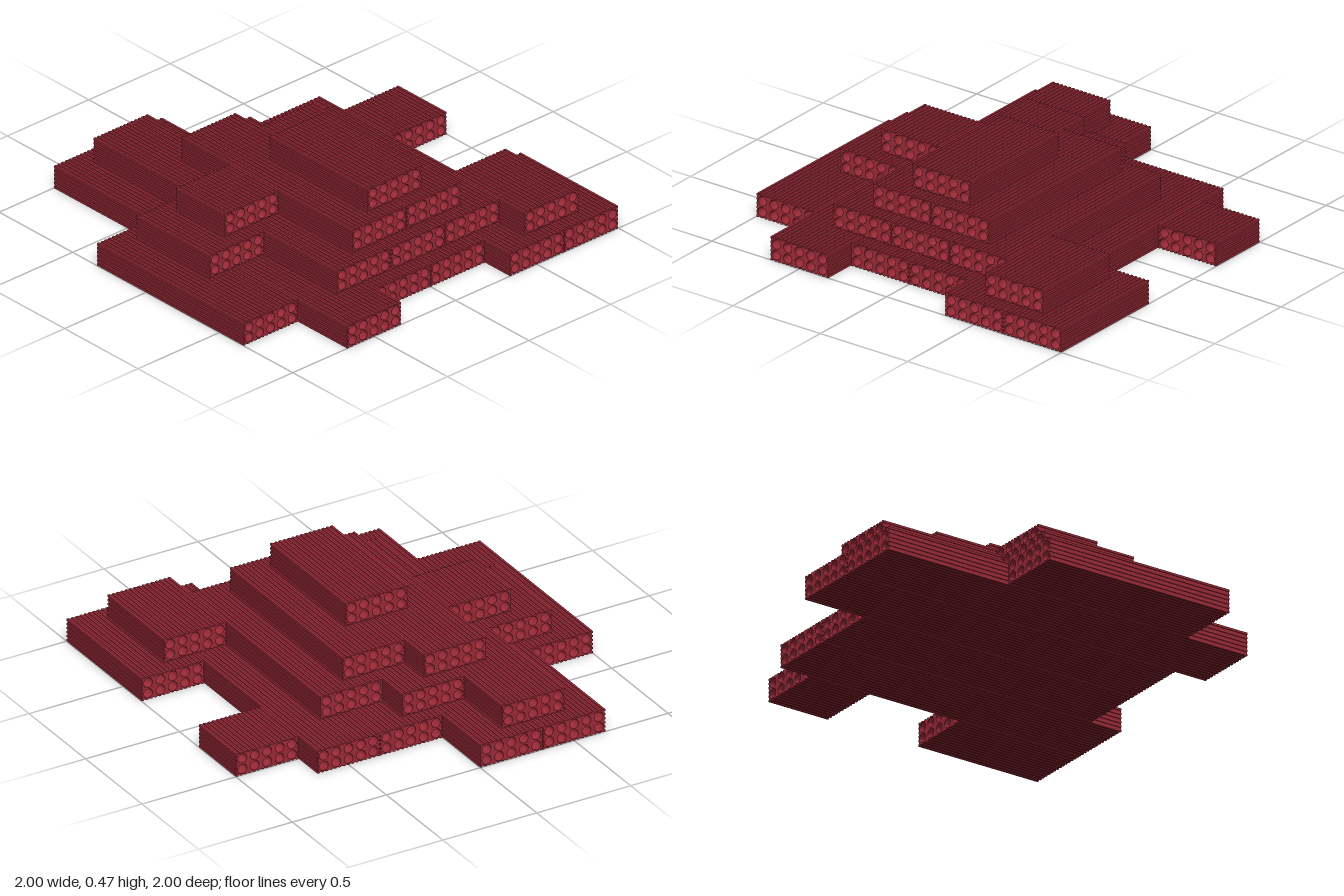
import * as THREE from 'three';
import { toCreasedNormals } from 'three/addons/utils/BufferGeometryUtils.js';

const PITCH = 1 / 3;      // column spacing
const COURSE = 0.1175;    // course height
const W = 0.331, H = 0.117, GROOVE = 0.004;

// Each brick: [centre x, back z, front z], listed course by course from the ground
const COURSES = [
  [[-2.5, -0.335, 0.665], [-1.5, -1, 1], [-0.5, -1, 0.83], [0.5, -0.667, 0.83],
    [1.5, -0.667, 1], [2.5, -0.5, -0.17], [2.5, 0.335, 1]],
  [[-2, -0.25, 0.25], [-1, -0.915, 0.745], [0, -0.585, 0.745], [1, -0.415, 0.745], [2, 0.415, 0.915]],
  [[-1.5, -0.167, 0.165], [-0.5, -0.5, 0.665], [0.5, -0.335, 0.665]],
  [[0, -0.083, 0.585]],
];

// Square grooves cut into one straight side, inward to the left of its direction
function groovedSide(points, ax, ay, bx, by, count) {
  const length = Math.hypot(bx - ax, by - ay);
  const dx = (bx - ax) / length, dy = (by - ay) / length;
  const step = length / (2 * count + 1);
  const add = (t, d) => points.push(new THREE.Vector2(ax + dx * t - dy * d, ay + dy * t + dx * d));
  add(0, 0);
  for (let i = 0; i < count; i++) {
    const t = (2 * i + 1) * step;
    add(t, 0);
    add(t, GROOVE);
    add(t + step, GROOVE);
    add(t + step, 0);
  }
}

// Grooved outline with two rows of five round channels
function brickShape() {
  const x = W / 2, y = H / 2, points = [];
  groovedSide(points, -x, -y, x, -y, 14);
  groovedSide(points, x, -y, x, y, 5);
  groovedSide(points, x, y, -x, y, 14);
  groovedSide(points, -x, y, -x, -y, 5);
  const shape = new THREE.Shape(points);
  for (let i = -2; i <= 2; i++) {
    for (const side of [-1, 1]) {
      const hole = new THREE.Path();
      hole.absarc(i * 0.066, side * 0.027, 0.0235, 0, Math.PI * 2, true);
      shape.holes.push(hole);
    }
  }
  return shape;
}

export function createModel() {
  const model = new THREE.Group();
  model.name = 'brickStack';
  const clay = new THREE.MeshStandardMaterial({ color: 0x9b2a38 });
  const shape = brickShape();

  COURSES.forEach((bricks, level) => {
    const course = new THREE.Group();
    course.name = `course${level + 1}`;
    for (const [column, back, front] of bricks) {
      const geometry = new THREE.ExtrudeGeometry(shape, {
        depth: front - back, bevelEnabled: false, curveSegments: 10,
      });
      const brick = new THREE.Mesh(toCreasedNormals(geometry, 0.8), clay);
      brick.name = 'hollowBrick';
      brick.position.set(column * PITCH, level * COURSE + H / 2, back);
      course.add(brick);
    }
    model.add(course);
  });
  return model;
}
